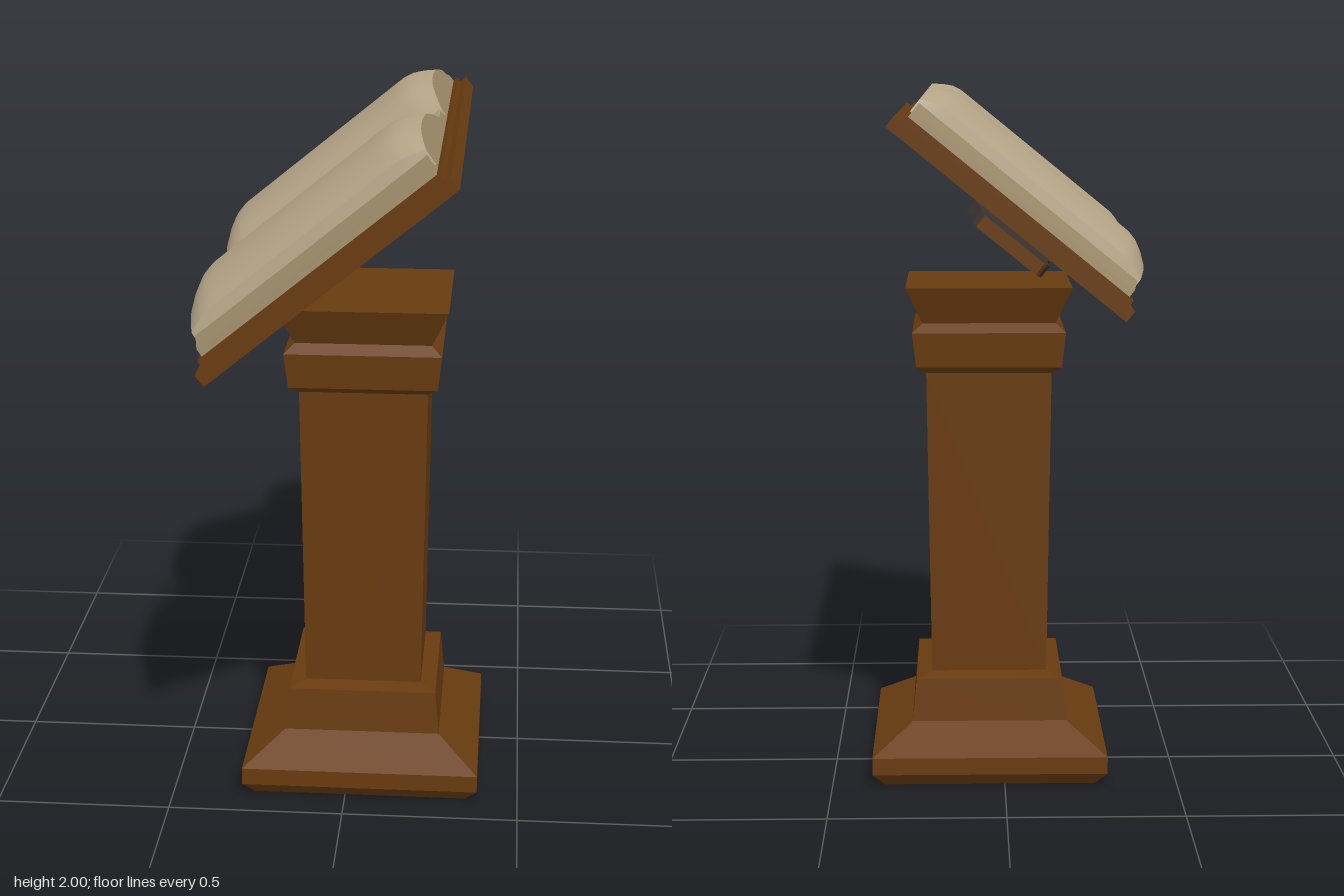
import * as THREE from 'three';
import { toCreasedNormals } from 'three/addons/utils/BufferGeometryUtils.js';

export function createModel() {
  const model = new THREE.Group();
  model.name = 'lectern';
  const material = (name, color, side = THREE.FrontSide) => {
    const m = new THREE.MeshStandardMaterial({ color, side });
    m.name = name;
    return m;
  };
  const wood = material('brown wood', 0x683b0f);
  const paper = material('cream paper', 0xb5a587);
  const edge = material('tan page edges', 0x9c8a68);
  const leather = material('dark leather', 0x3a3431);

  const add = (parent, name, geometry, mat) => {
    const mesh = new THREE.Mesh(geometry, mat);
    mesh.name = name;
    parent.add(mesh);
    return mesh;
  };
  const box = (parent, name, mat, [w, h, d], [x, y, z]) =>
    add(parent, name, new THREE.BoxGeometry(w, h, d), mat).position.set(x, y, z);
  const shapeOf = (pts) => new THREE.Shape(pts.map(([x, y]) => new THREE.Vector2(x, y)));

  // Square pedestal: half width and height of each moulding
  const profile = [
    [0, 0], [0.305, 0], [0.34, 0.04], [0.34, 0.09], [0.225, 0.165], [0.213, 0.29],
    [0.168, 0.302], [0.18, 1.19], [0.208, 1.21], [0.219, 1.31], [0.19, 1.335],
    [0.237, 1.44], [0, 1.44],
  ].map(([r, y]) => new THREE.Vector2(r * Math.SQRT2, y));
  const column = new THREE.LatheGeometry(profile, 4, Math.PI / 4);
  add(model, 'pedestal', toCreasedNormals(column, 0.1), wood).position.set(0.043, 0, 0.08);

  // Tilted desk: x runs up the slope, y is normal to the board
  const desk = new THREE.Group();
  desk.name = 'desk';
  desk.position.set(-0.0275, 1.6875, 0.145);
  desk.rotation.z = 0.681;
  model.add(desk);
  box(desk, 'board', wood, [0.81, 0.036, 1.44], [0, -0.029, 0]);
  box(desk, 'cover', wood, [0.775, 0.02, 1.37], [0, -0.002, -0.005]);

  // Low stack of sheets under the pages, sloping at the outer edges
  const stack = new THREE.ExtrudeGeometry(
    shapeOf([[-0.665, 0.008], [0.672, 0.008], [0.668, 0.03], [0.59, 0.052], [0.1, 0.036],
      [-0.1, 0.036], [-0.585, 0.052], [-0.66, 0.03]]),
    { depth: 0.75, bevelEnabled: false });
  stack.translate(0, 0, -0.375);
  add(desk, 'sheetStack', stack, edge).rotation.y = Math.PI / 2;
  box(desk, 'gutter', paper, [0.7, 0.006, 0.14], [0.025, 0.037, 0]);

  // Two open page blocks, arched across and rounded off at both ends
  const arch = [[0.062, 0.045], [0.1, 0.07], [0.165, 0.105], [0.22, 0.124], [0.3, 0.134],
    [0.38, 0.135], [0.46, 0.128], [0.53, 0.108], [0.585, 0.082]];
  for (const side of [-1, 1]) {
    const shape = new THREE.Shape();
    shape.moveTo(-side * 0.06, 0.02);
    shape.lineTo(-side * 0.062, 0.045);
    shape.splineThru(arch.slice(1).map(([d, v]) => new THREE.Vector2(-side * d, v)));
    shape.lineTo(-side * 0.6, 0.02);
    const pages = new THREE.ExtrudeGeometry(shape,
      { depth: 0.76, steps: 28, bevelEnabled: false, curveSegments: 24 });
    pages.translate(0, 0, -0.38);
    const p = pages.attributes.position;
    for (let i = 0; i < p.count; i++) {
      const t = Math.max(0, (Math.abs(p.getZ(i)) - 0.3) / 0.08);
      p.setY(i, 0.02 + (p.getY(i) - 0.02) * (1 - 0.36 * t ** 1.7));
    }
    const mesh = add(desk, side > 0 ? 'frontPages' : 'backPages',
      toCreasedNormals(pages, 0.6), [edge, paper]);
    mesh.rotation.y = Math.PI / 2;
  }

  // Small arched headband at the lower end of the spine
  const band = new THREE.CatmullRomCurve3([[0.03, -0.09], [0.07, -0.055], [0.088, 0],
    [0.07, 0.055], [0.03, 0.09]].map(([v, z]) => new THREE.Vector3(-0.38, v, z)));
  add(desk, 'headband', new THREE.TubeGeometry(band, 16, 0.007, 6), edge);

  // Flat waisted handle under the board with a wooden end
  const plate = (name, mat, outline, bottom, thickness) => {
    const pts = [...outline, ...outline.map(([u, z]) => [-u, z]).reverse()];
    const g = new THREE.ExtrudeGeometry(shapeOf(pts), { depth: thickness, bevelEnabled: false });
    g.rotateX(-Math.PI / 2);
    g.translate(-0.022, bottom, 0);
    add(desk, name, g, mat);
  };
  plate('handle', leather, [[0.128, 0.66], [0.125, 0.725], [0.112, 0.8], [0.107, 0.87],
    [0.113, 0.92], [0.109, 0.95], [0.1, 0.967]], -0.084, 0.036);
  plate('handleNeck', wood, [[0.088, 0.96], [0.088, 0.98]], -0.078, 0.024);
  plate('handleEnd', wood, [[0.092, 0.975], [0.098, 0.983], [0.098, 1.003], [0.09, 1.01]],
    -0.083, 0.034);

  return model;
}
